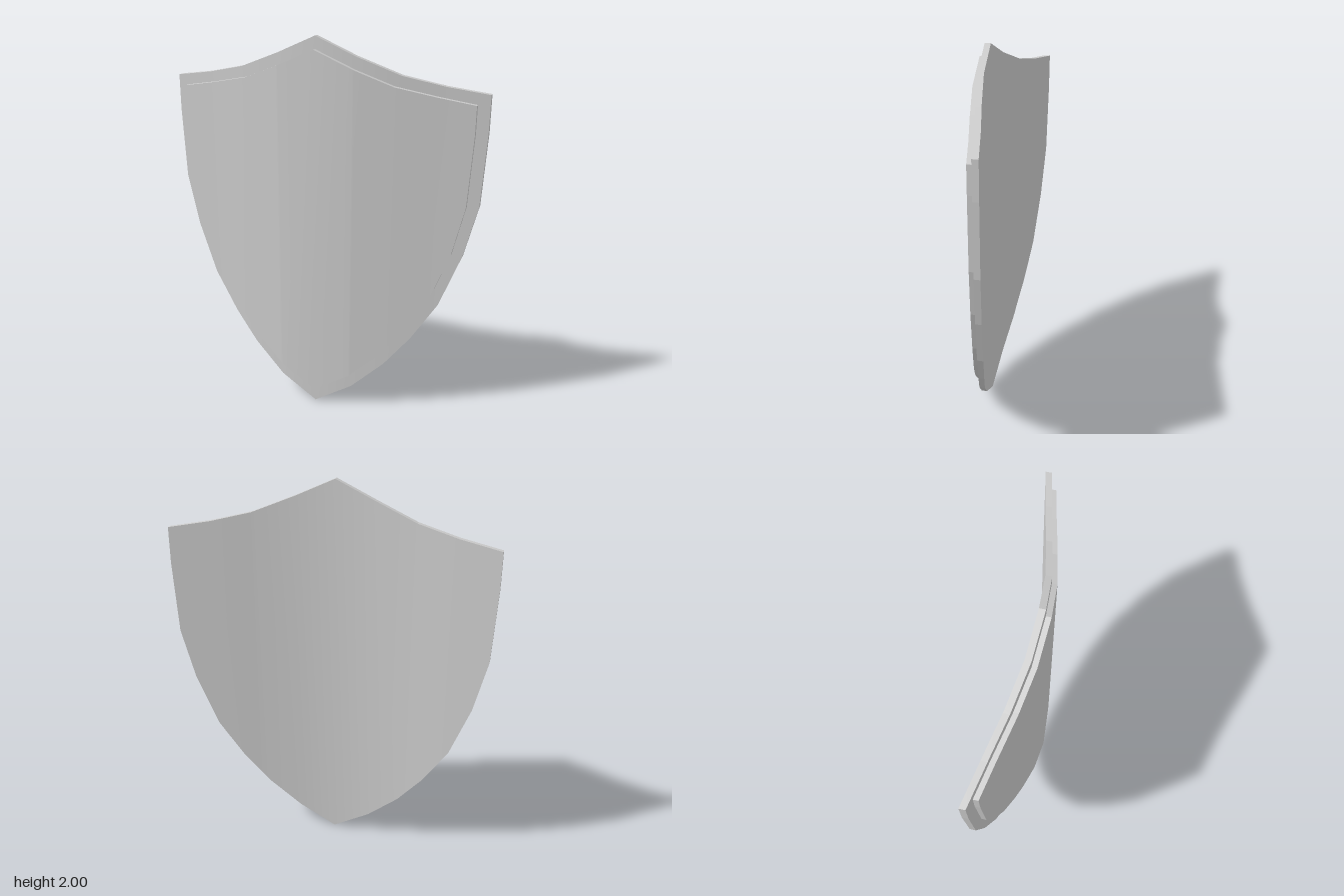
import * as THREE from 'three';
import { mergeGeometries } from 'three/addons/utils/BufferGeometryUtils.js';

// Piecewise-linear lookup in a list of [x, y] points with rising x
function lookup(points, x) {
  for (let i = 1; i < points.length; i++) {
    const [x0, y0] = points[i - 1], [x1, y1] = points[i];
    if (x <= x1) return y0 + (y1 - y0) * (x - x0) / (x1 - x0);
  }
  return points[points.length - 1][1];
}

// Horizontal bend of the back of the shield
const BEND = [[0, 0.045], [0.2, 0.03], [0.4, -0.009], [0.6, -0.055], [0.825, -0.102]];

function makeGeometry(positions, index) {
  const g = new THREE.BufferGeometry();
  g.setAttribute('position', new THREE.Float32BufferAttribute(positions, 3));
  g.setIndex(index);
  g.computeVertexNormals();
  return g;
}

// Bent plate between a top and a bottom edge curve, given for the half x >= 0
function bentPlate(top, bottom, zBack, zFront) {
  const half = [...new Set([...top, ...bottom, ...BEND].map(p => p[0]))]
    .filter(x => x <= top[top.length - 1][0]).sort((a, b) => a - b);
  const xs = [...half.slice(1).reverse().map(x => -x), ...half];
  const n = xs.length;
  const edge = (curve, x, dz) => [x, lookup(curve, Math.abs(x)), lookup(BEND, Math.abs(x)) + dz];

  // Front and back faces: one tall quad per column, smooth across columns
  const face = (dz, front) => {
    const pos = [], idx = [];
    xs.forEach((x, i) => {
      pos.push(...edge(bottom, x, dz), ...edge(top, x, dz));
      if (i === n - 1) return;
      const a = 2 * i, b = a + 2;
      if (front) idx.push(a, b, b + 1, a, b + 1, a + 1);
      else idx.push(a, b + 1, b, a, a + 1, b + 1);
    });
    return makeGeometry(pos, idx);
  };

  // Rim: flat quads counter-clockwise around the outline
  const loop = [...xs.map(x => [bottom, x]), ...[...xs].reverse().map(x => [top, x])];
  const pos = [], idx = [];
  loop.forEach(([c, x], i) => {
    const [c2, x2] = loop[(i + 1) % loop.length];
    const k = pos.length / 3;
    pos.push(...edge(c, x, zBack), ...edge(c2, x2, zBack), ...edge(c2, x2, zFront), ...edge(c, x, zFront));
    idx.push(k, k + 1, k + 2, k, k + 2, k + 3);
  });
  return mergeGeometries([face(zFront, true), face(zBack, false), makeGeometry(pos, idx)]);
}

export function createModel() {
  const group = new THREE.Group();
  group.name = 'shield';
  const material = new THREE.MeshStandardMaterial({ color: 0xcccccc });
  const add = (name, geometry) => {
    const mesh = new THREE.Mesh(geometry, material);
    mesh.name = name;
    group.add(mesh);
  };

  // Large back plate, visible as the border
  add('backPlate', bentPlate(
    [[0, 2], [0.2, 1.91], [0.415, 1.825], [0.62, 1.778], [0.825, 1.745]],
    [[0, 0], [0.2, 0.12], [0.37, 0.275], [0.505, 0.44], [0.637, 0.645], [0.742, 0.92], [0.807, 1.19], [0.825, 1.56]],
    0, 0.03));

  // Smaller raised plate on the front
  add('frontPanel', bentPlate(
    [[0, 1.937], [0.2, 1.848], [0.385, 1.775], [0.59, 1.73], [0.767, 1.697]],
    [[0, 0.082], [0.19, 0.195], [0.345, 0.335], [0.472, 0.49], [0.592, 0.68], [0.69, 0.935], [0.748, 1.19], [0.767, 1.56]],
    0.03, 0.055));

  return group;
}
